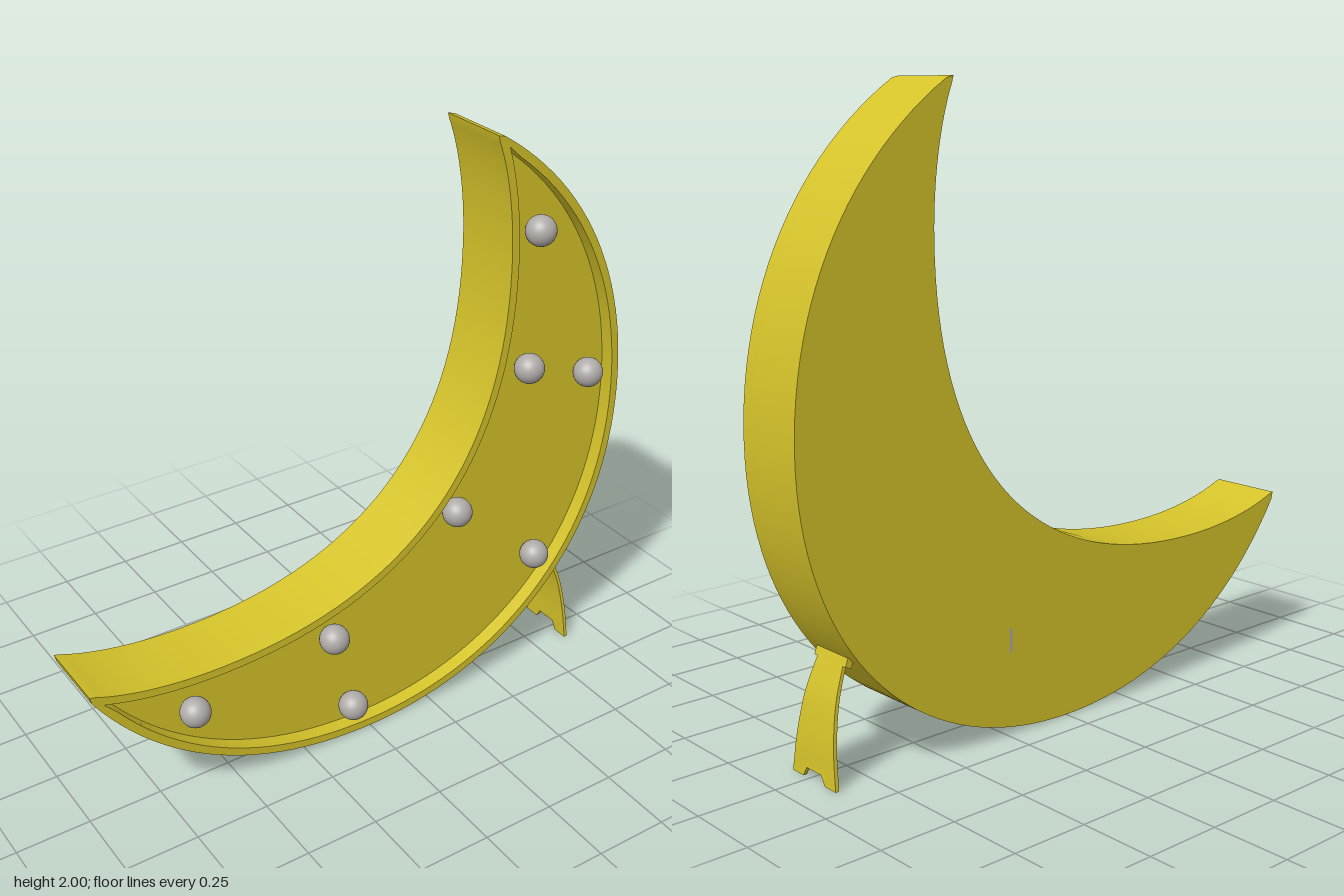
import * as THREE from 'three';
import { toCreasedNormals } from 'three/addons/utils/BufferGeometryUtils.js';

const BACK = -0.15, FLOOR = 0.05, FRONT = 0.1, RIM = 0.028;

const vec = (x, y) => new THREE.Vector2(x, y);
const bezier = (pts, n) => new THREE.CubicBezierCurve(...pts.map(p => vec(...p))).getPoints(n);
// The crescent is symmetric about the diagonal x + y = 1
const mirror = p => vec(1 - p.y, 1 - p.x);
const mirrored = pts => pts.map(mirror).reverse();

// Outer and inner edge of the crescent, each running clockwise round the outline
function crescentEdges() {
  const outerHorn = bezier([[0.465, 1.993], [0.8, 1.78], [1, 1.43], [1, 1]], 24);
  const outerBelly = bezier([[1, 1], [1, 0.41], [0.59, 0], [0, 0]], 36);
  const innerHorn = bezier([[0.515, 1.55], [0.516, 1.71], [0.49, 1.87], [0.445, 1.98]], 16);
  const innerBelly = bezier([[-0.55, 0.485], [0.13, 0.485], [0.515, 0.87], [0.515, 1.55]], 36);
  return {
    outer: [...outerHorn, ...outerBelly.slice(1, -1), ...mirrored(outerHorn)],
    inner: [...mirrored(innerHorn), ...innerBelly.slice(1, -1), ...innerHorn],
  };
}

// Shift an edge inwards by the rim width, leaving out the points beyond the tips of the opening
function inset(pts) {
  return pts.slice(1, -1).map((p, i) => {
    const along = pts[i + 2].clone().sub(pts[i]).normalize();
    return vec(p.x + along.y * RIM, p.y - along.x * RIM);
  }).filter(p => p.y < 1.93 && p.x > -0.93);
}

function extrude(shape, z0, z1) {
  const geo = new THREE.ExtrudeGeometry(shape, { depth: z1 - z0, bevelEnabled: false });
  geo.translate(0, 0, z0);
  return toCreasedNormals(geo, 0.6);
}

export function createModel() {
  const model = new THREE.Group();
  model.name = 'moonLamp';
  const gold = new THREE.MeshStandardMaterial({ color: 0xd5c32a });
  gold.name = 'gold';
  const grey = new THREE.MeshStandardMaterial({ color: 0xb0aca9 });
  grey.name = 'bulbGrey';
  const add = (name, geo, mat, parent = model) => {
    const mesh = new THREE.Mesh(geo, mat);
    mesh.name = name;
    parent.add(mesh);
    return mesh;
  };

  // Crescent body and the raised rim around its recessed front
  const { outer, inner } = crescentEdges();
  const tip = vec(0.44, 1.999), openingTip = vec(0.485, 1.955);
  const outline = [tip, ...outer, mirror(tip), ...inner];
  add('body', extrude(new THREE.Shape(outline), BACK, FLOOR), gold);

  const opening = [openingTip, ...inset(outer), mirror(openingTip), ...inset(inner)];
  const rim = new THREE.Shape(outline);
  rim.holes.push(new THREE.Path(opening.reverse()));
  add('rim', extrude(rim, FLOOR, FRONT), gold);

  // Bulbs
  const bulbs = new THREE.Group();
  bulbs.name = 'bulbs';
  model.add(bulbs);
  const bulbGeo = new THREE.SphereGeometry(0.05, 32, 20);
  [[0.625, 1.66], [0.612, 1.188], [0.866, 1.102], [0.342, 0.736], [0.684, 0.445],
    [-0.14, 0.418], [-0.655, 0.351], [-0.067, 0.113]].forEach(([x, y]) =>
    add('bulb', bulbGeo, grey, bulbs).position.set(x, y, 0.097));

  // Small slot in the back
  const slot = add('backSlot', new THREE.PlaneGeometry(0.01, 0.08), grey);
  slot.position.set(0.235, 0.305, BACK - 0.002);
  slot.rotation.y = Math.PI;

  // Side stand: a bent strip that widens downwards, notched at the foot
  const stand = new THREE.Group();
  stand.name = 'stand';
  model.add(stand);
  const bend = new THREE.CatmullRomCurve3([[0.803, 0.37], [0.847, 0.25], [0.87, 0.12], [0.877, 0]]
    .map(([x, y]) => new THREE.Vector3(x, y, 0)));
  const strip = new THREE.BoxGeometry(0.012, 1, 2, 1, 14, 5);
  const pos = strip.attributes.position;
  for (let i = 0; i < pos.count; i++) {
    const t = 0.5 - pos.getY(i), s = pos.getZ(i), a = Math.abs(s);
    const across = Math.sign(s) * (a > 0.9 ? 1 : a > 0.5 ? 0.5 : 0.33);
    const p = bend.getPoint(t);
    const notch = a > 0.5 ? 0 : t > 0.99 ? 0.03 : t > 0.9 ? 0.01 : 0;
    const half = THREE.MathUtils.lerp(0.06, 0.107, t);
    pos.setXYZ(i, p.x + pos.getX(i), p.y + notch, -0.025 + across * half);
  }
  add('standLeg', toCreasedNormals(strip, 0.6), gold, stand);

  // Cross plate that joins the leg to the body
  const plate = add('standPlate', new THREE.BoxGeometry(0.022, 0.028, 0.153), gold, stand);
  plate.position.set(0.802, 0.358, -0.024);
  plate.rotation.z = 0.35;

  return model;
}
